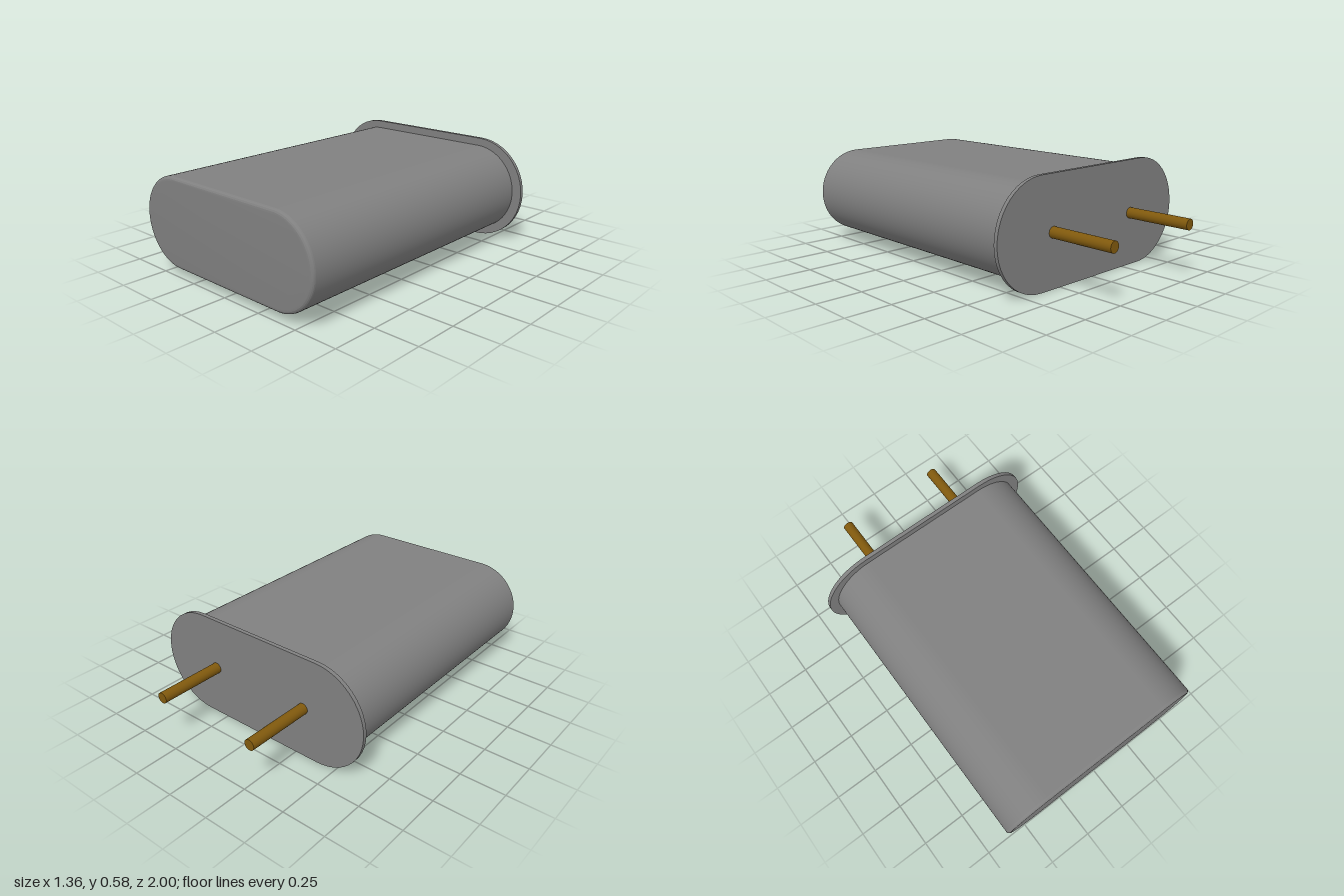
import * as THREE from 'three';
import { toCreasedNormals } from 'three/addons/utils/BufferGeometryUtils.js';

const CENTER_Y = 0.292;

// Stadium outline: two half circles joined by straight sides
function stadium(half, r) {
  const s = new THREE.Shape();
  s.moveTo(-half, -r);
  s.lineTo(half, -r);
  s.absarc(half, 0, r, -Math.PI / 2, Math.PI / 2, false);
  s.lineTo(-half, r);
  s.absarc(-half, 0, r, Math.PI / 2, Math.PI * 1.5, false);
  return s;
}

export function createModel() {
  const group = new THREE.Group();
  const metal = new THREE.MeshStandardMaterial({ color: 0x808080 });
  metal.name = 'grey metal';
  const brass = new THREE.MeshStandardMaterial({ color: 0x80590d });
  brass.name = 'dark brass';

  const add = (name, geometry, material, x, z) => {
    const mesh = new THREE.Mesh(geometry, material);
    mesh.name = name;
    mesh.position.set(x, CENTER_Y, z);
    group.add(mesh);
    return mesh;
  };

  // Can with a rounded front rim; its rear rim is sunk in the flange
  const bevel = 0.022, thick = 0.018, back = -0.622;
  const can = new THREE.ExtrudeGeometry(stadium(0.375, 0.248 - bevel), {
    depth: 1 - back - 2 * thick, curveSegments: 32,
    bevelEnabled: true, bevelSize: bevel, bevelThickness: thick, bevelSegments: 4,
  });
  add('can', toCreasedNormals(can, 0.2), metal, 0, back + thick);

  // Thin base flange
  const flange = new THREE.ExtrudeGeometry(stadium(0.387, 0.292), {
    depth: 0.022, curveSegments: 12, bevelEnabled: false,
  });
  add('flange', toCreasedNormals(flange, 0.4), metal, 0, -0.626);

  // Two contact pins
  for (const side of [-1, 1]) {
    const pin = new THREE.CylinderGeometry(0.03, 0.03, 0.38, 24);
    pin.rotateX(Math.PI / 2);
    add(side < 0 ? 'rightPin' : 'leftPin', pin, brass, side * 0.305, -0.81);
  }
  return group;
}
